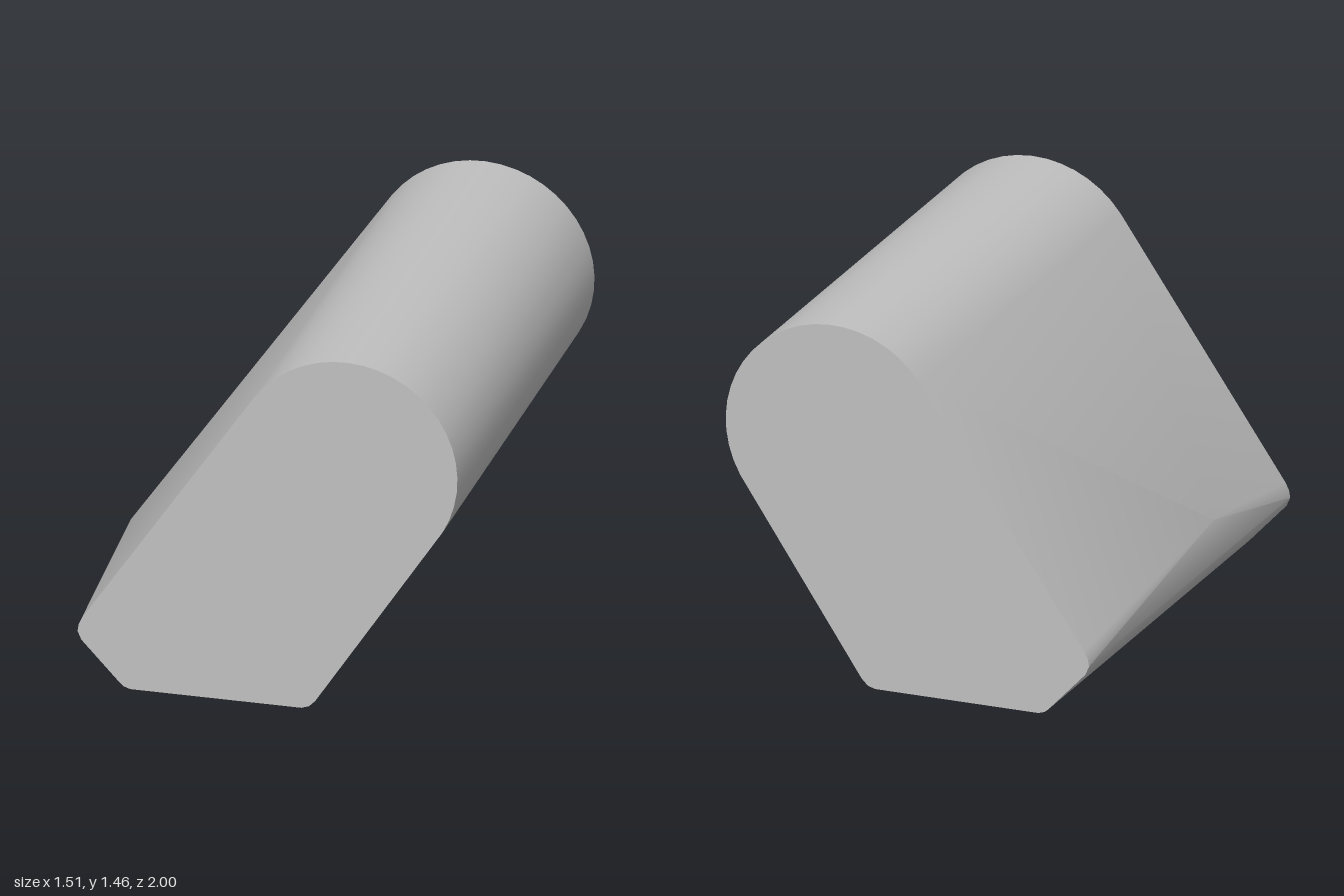
import * as THREE from 'three';
import { ConvexGeometry } from 'three/addons/geometries/ConvexGeometry.js';
import { toCreasedNormals } from 'three/addons/utils/BufferGeometryUtils.js';

export function createModel() {
  const grey = new THREE.MeshStandardMaterial({ color: 0xc0c0c0 });
  grey.name = 'light grey';

  // Leaning capsule outline: chamfered foot with softened corners
  const profile = [
    [-0.735, 0.28], [-0.75, 0.25], [-0.755, 0.22], [-0.74, 0.185],
    [-0.585, 0.02], [-0.57, 0.008], [-0.545, 0],
    [0.135, 0], [0.165, 0.01], [0.19, 0.035],
  ];
  // Round head
  const steps = 22;
  for (let i = 0; i <= steps; i++) {
    const a = THREE.MathUtils.degToRad(-30 + (174 * i) / steps);
    profile.push([0.31 + 0.445 * Math.cos(a), 1.02 + 0.445 * Math.sin(a)]);
  }

  // Both end outlines plus the raised point on the sloping side
  const points = [new THREE.Vector3(-0.742, 0.38, 0.27)];
  for (const z of [-1, 1]) {
    for (const [x, y] of profile) points.push(new THREE.Vector3(x, y, z));
  }

  const geometry = toCreasedNormals(new ConvexGeometry(points), THREE.MathUtils.degToRad(30));
  const body = new THREE.Mesh(geometry, grey);
  body.name = 'body';

  const model = new THREE.Group();
  model.name = 'leaningRoundedBlock';
  model.add(body);
  return model;
}
